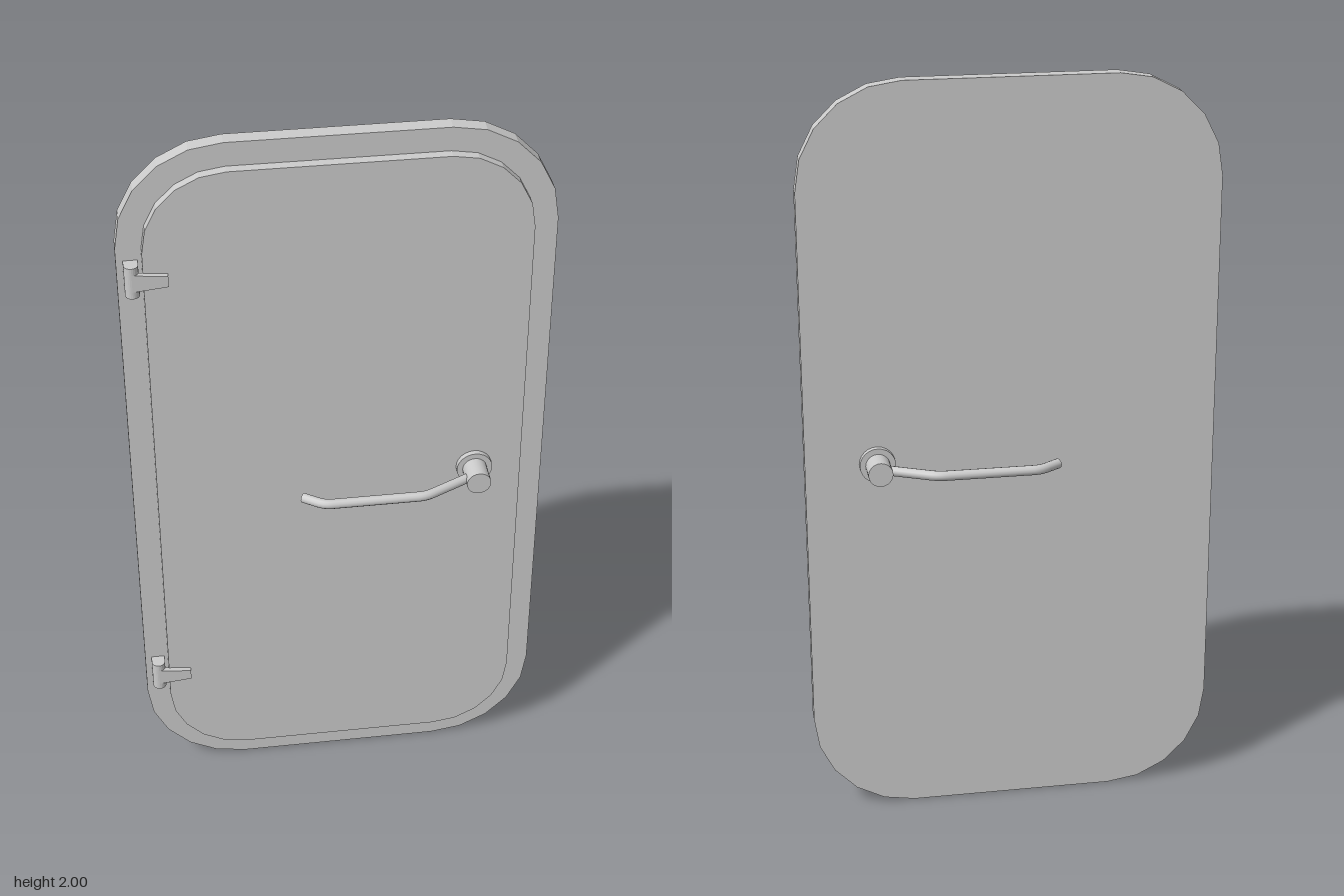
import * as THREE from 'three';

const material = new THREE.MeshStandardMaterial({ color: 0xcccccc });

function addMesh(parent, name, geometry, x = 0, y = 0, z = 0) {
  const mesh = new THREE.Mesh(geometry, material);
  mesh.name = name;
  mesh.position.set(x, y, z);
  parent.add(mesh);
  return mesh;
}

// Upright slab with faceted round corners, centred on x and y
function slab(halfW, halfH, radius, depth, steps = 5) {
  const points = [];
  for (let c = 0; c < 4; c++) {
    const cx = (c === 0 || c === 3 ? 1 : -1) * (halfW - radius);
    const cy = (c < 2 ? 1 : -1) * (halfH - radius);
    for (let i = 0; i <= steps; i++) {
      const a = (c + i / steps) * Math.PI / 2;
      points.push(new THREE.Vector2(cx + radius * Math.cos(a), cy + radius * Math.sin(a)));
    }
  }
  return new THREE.ExtrudeGeometry(new THREE.Shape(points), { depth, bevelEnabled: false });
}

// Bar path through the corners, with each bend rounded
function bentPath(corners, bend) {
  const path = new THREE.CurvePath();
  let from = corners[0];
  for (let i = 1; i < corners.length - 1; i++) {
    const p = corners[i];
    const a = p.clone().add(corners[i - 1].clone().sub(p).setLength(bend));
    const b = p.clone().add(corners[i + 1].clone().sub(p).setLength(bend));
    path.add(new THREE.LineCurve3(from, a));
    path.add(new THREE.QuadraticBezierCurve3(a, p, b));
    from = b;
  }
  path.add(new THREE.LineCurve3(from, corners[corners.length - 1]));
  return path;
}

// Lever handle on its face plate, pointing out along +z
function makeHandle(name, side) {
  const handle = new THREE.Group();
  handle.name = name;
  const s = side;
  const disc = addMesh(handle, 'handlePlate', new THREE.CylinderGeometry(0.047, 0.047, 0.018, 24), 0.355, 0, s * 0.041);
  const hub = addMesh(handle, 'handleHub', new THREE.CylinderGeometry(0.032, 0.032, 0.076, 24), 0.355, 0, s * 0.078);
  disc.rotation.x = hub.rotation.x = Math.PI / 2;

  const path = bentPath([[0.35, 0.078], [0.21, 0.148], [-0.055, 0.148], [-0.108, 0.112]]
    .map(([x, z]) => new THREE.Vector3(x, 0, s * z)), 0.02);
  addMesh(handle, 'lever', new THREE.TubeGeometry(path, 48, 0.013, 12));
  const end = path.getPointAt(1);
  const cap = addMesh(handle, 'leverEnd', new THREE.CircleGeometry(0.013, 12), end.x, end.y, end.z);
  cap.lookAt(end.clone().add(path.getTangentAt(1)));
  return handle;
}

// Hinge: a round-nosed knuckle and a tapered leaf on the panel
function makeHinge() {
  const hinge = new THREE.Group();
  const nose = new THREE.Shape();
  nose.moveTo(-0.018, 0);
  nose.lineTo(0.018, 0);
  nose.lineTo(0.018, -0.022);
  nose.absarc(0, -0.022, 0.018, 0, -Math.PI, true);
  const knuckle = addMesh(hinge, 'hingeKnuckle',
    new THREE.ExtrudeGeometry(nose, { depth: 0.086, bevelEnabled: false, curveSegments: 6 }), -0.508, -0.043, 0.005);
  knuckle.rotation.x = -Math.PI / 2;

  const leaf = new THREE.Shape([[-0.508, -0.024], [-0.42, -0.015], [-0.42, 0.015], [-0.508, 0.024]]
    .map(([x, y]) => new THREE.Vector2(x, y)));
  addMesh(hinge, 'hingeLeaf', new THREE.ExtrudeGeometry(leaf, { depth: 0.014, bevelEnabled: false }), 0, 0, 0.031);
  return hinge;
}

export function createModel() {
  const door = new THREE.Group();
  door.name = 'door';

  // Door leaf in two layers
  addMesh(door, 'outerPanel', slab(0.543, 1, 0.27, 0.042), 0, 1, -0.037);
  addMesh(door, 'raisedPanel', slab(0.48, 0.936, 0.21, 0.027), 0, 1.001, 0.005);

  // Lever handles on both faces
  for (const [name, side] of [['frontHandle', 1], ['backHandle', -1]]) {
    const handle = makeHandle(name, side);
    handle.position.set(0, 1.003, -0.003);
    door.add(handle);
  }

  // Hinges
  for (const [name, y] of [['upperHinge', 1.653], ['lowerHinge', 0.355]]) {
    const hinge = makeHinge();
    hinge.name = name;
    hinge.position.y = y;
    door.add(hinge);
  }
  return door;
}
